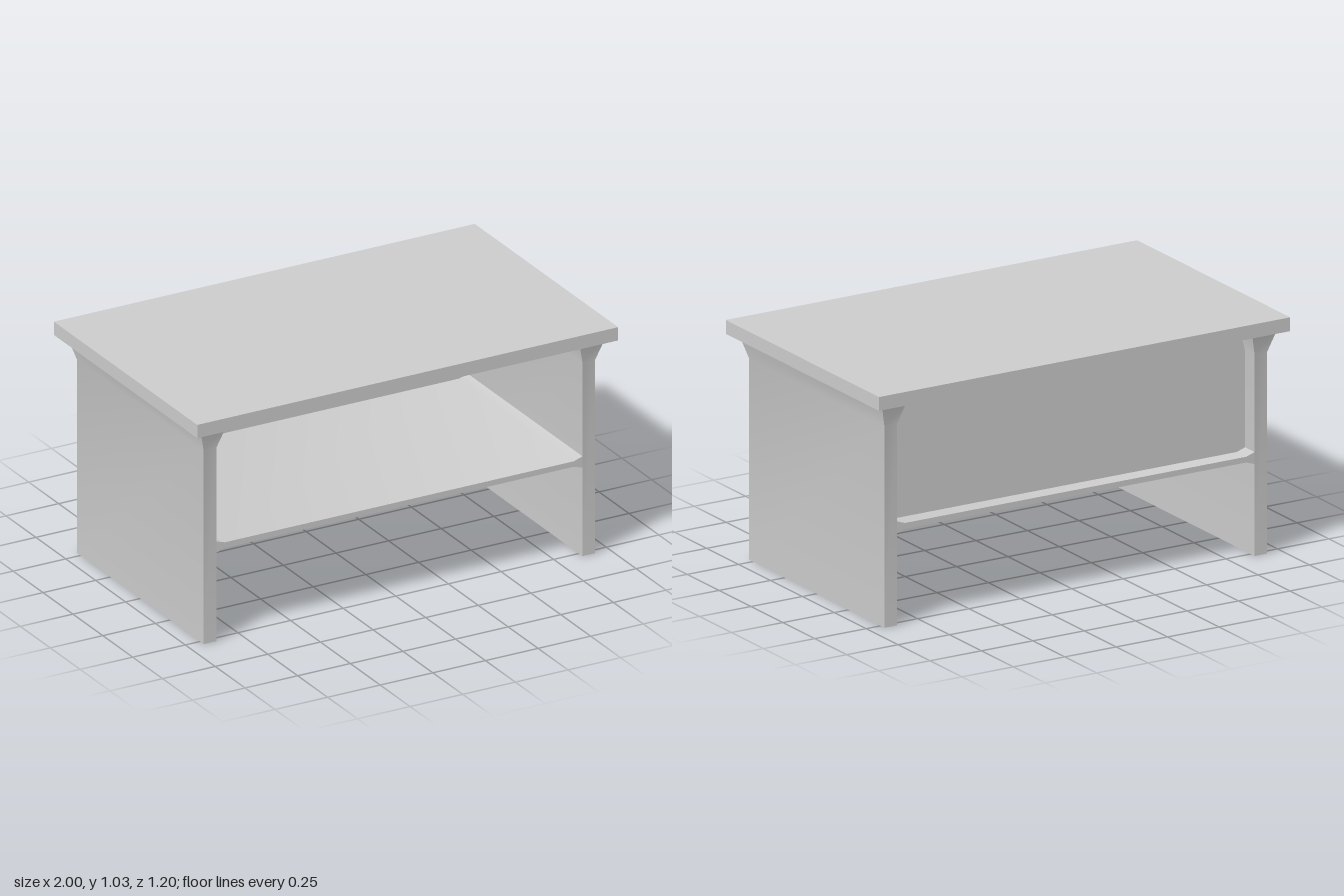
import * as THREE from 'three';
import { toCreasedNormals } from 'three/addons/utils/BufferGeometryUtils.js';

const material = new THREE.MeshStandardMaterial({ color: 0xcccccc });

// Move every vertex by a rule, then smooth only the gentle bends.
function reshape(geometry, rule) {
  const p = geometry.attributes.position;
  const v = new THREE.Vector3();
  for (let i = 0; i < p.count; i++) {
    rule(v.fromBufferAttribute(p, i));
    p.setXYZ(i, v.x, v.y, v.z);
  }
  return toCreasedNormals(geometry, 0.6);
}

export function createModel() {
  const group = new THREE.Group();
  const add = (name, geometry, x, y, z) => {
    const mesh = new THREE.Mesh(geometry, material);
    mesh.name = name;
    mesh.position.set(x, y, z);
    group.add(mesh);
  };

  // Tabletop slab
  add('tabletop', new THREE.BoxGeometry(2, 0.06, 1.2), 0, 1.005, 0);

  // Side panels: straight up to y = 0.875, then flared outward under the top
  const legGeometry = reshape(new THREE.BoxGeometry(0.06, 2, 1.06, 1, 2, 1), (v) => {
    if (v.y > 0.5) {
      v.x += Math.sign(v.x) * 0.03;
      v.z += Math.sign(v.z) * 0.03;
    }
    v.y = v.y < -0.5 ? 0 : v.y < 0.5 ? 0.875 : 0.975;
  });
  add('leftSidePanel', legGeometry, 0.9, 0, 0);
  add('rightSidePanel', legGeometry, -0.9, 0, 0);

  // Shelf, thickened where it meets the side panels
  const shelfGeometry = reshape(new THREE.BoxGeometry(1.74, 0.025, 1.06, 3, 1, 1), (v) => {
    if (Math.abs(v.x) > 0.8) v.y = Math.sign(v.y) * 0.026;
    else v.x = Math.sign(v.x) * 0.83;
  });
  add('shelf', shelfGeometry, 0, 0.426, 0);

  // Back panel, set in from the rear edge
  add('backPanel', new THREE.BoxGeometry(1.74, 0.545, 0.025), 0, 0.7025, -0.443);

  return group;
}
